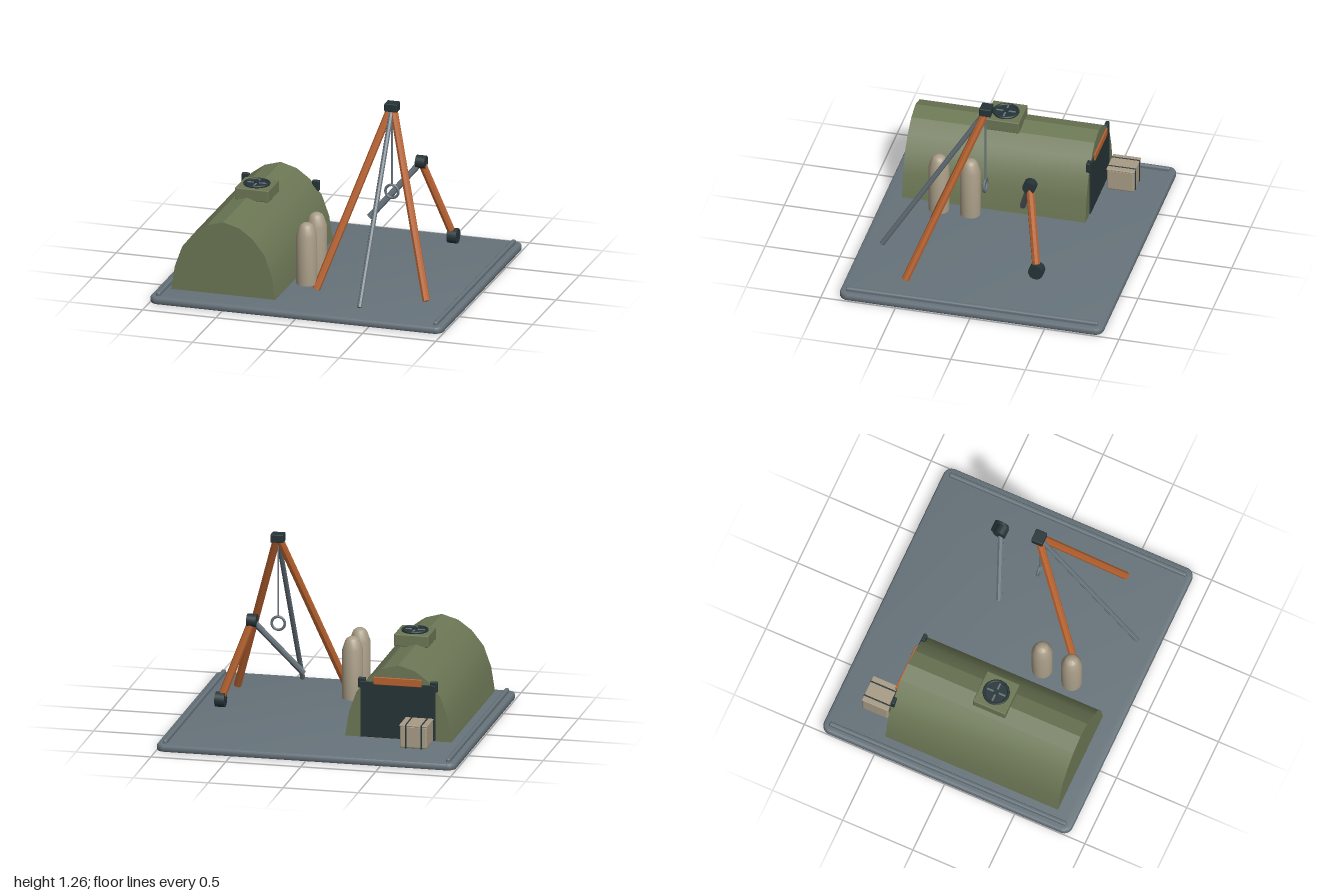
import * as THREE from 'three';
import { toCreasedNormals } from 'three/addons/utils/BufferGeometryUtils.js';
import { RoundedBoxGeometry } from 'three/addons/geometries/RoundedBoxGeometry.js';

const mat = (name, color, flatShading = false) => {
  const m = new THREE.MeshStandardMaterial({ color, flatShading });
  m.name = name;
  return m;
};

export function createModel() {
  const model = new THREE.Group();
  const grey = mat('slate grey', 0x66727a);
  const olive = mat('olive', 0x6c7755);
  const orange = mat('burnt orange', 0xb8622f);
  const tan = mat('tan', 0xa89c86);
  const dark = mat('dark metal', 0x263437);

  const add = (name, geometry, material, x = 0, y = 0, z = 0) => {
    const mesh = new THREE.Mesh(geometry, material);
    mesh.name = name;
    mesh.position.set(x, y, z);
    model.add(mesh);
    return mesh;
  };
  const box = (name, material, w, h, d, x, y, z, r = 0.006) =>
    add(name, new RoundedBoxGeometry(w, h, d, 2, r), material, x, y, z);

  // Faceted pole between two points
  const pole = (name, material, a, b, r, sides = 8) => {
    const from = new THREE.Vector3(...a), to = new THREE.Vector3(...b);
    const dir = to.clone().sub(from);
    const geo = toCreasedNormals(new THREE.CylinderGeometry(r, r, dir.length(), sides), 0.5);
    const mesh = add(name, geo, material);
    mesh.position.copy(from).add(to).multiplyScalar(0.5);
    mesh.quaternion.setFromUnitVectors(new THREE.Vector3(0, 1, 0), dir.normalize());
    return mesh;
  };

  // Base slab with rounded corners and bevelled edges
  const w = 0.98, d = 0.865, r = 0.04;
  const outline = new THREE.Shape();
  outline.absarc(w - r, d - r, r, 0, Math.PI / 2);
  outline.absarc(-w + r, d - r, r, Math.PI / 2, Math.PI);
  outline.absarc(-w + r, -d + r, r, Math.PI, Math.PI * 1.5);
  outline.absarc(w - r, -d + r, r, Math.PI * 1.5, Math.PI * 2);
  const slab = new THREE.ExtrudeGeometry(outline, {
    depth: 0.02, bevelThickness: 0.015, bevelSize: 0.02, bevelSegments: 2, curveSegments: 5,
  });
  slab.rotateX(-Math.PI / 2).translate(0, 0.015, 0);
  add('base', toCreasedNormals(slab, 0.6), grey);
  for (const s of [-1, 1]) box('baseRail', grey, 0.03, 0.035, 1.69, s * 0.945, 0.0575, 0, 0.012);

  // Arched shelter
  const half = [[0.355, 0.075], [0.33, 0.235], [0.28, 0.375], [0.2, 0.475], [0.11, 0.54]];
  const arch = [...half, [0, 0.572], ...half.map(([x, y]) => [-x, y]).reverse()];
  const shelter = new THREE.ExtrudeGeometry(
    new THREE.Shape(arch.map(([x, y]) => new THREE.Vector2(x, y))),
    { depth: 1.23, bevelEnabled: false });
  add('shelter', toCreasedNormals(shelter, 0.337), olive, -0.528, 0, -0.475);

  // Roof hatch with hand wheel
  const hx = -0.495, hz = 0.14;
  box('hatchBox', olive, 0.23, 0.08, 0.23, hx, 0.592, hz);
  add('hatchLid', toCreasedNormals(new THREE.CylinderGeometry(0.085, 0.085, 0.01, 24), 0.6), dark, hx, 0.634, hz);
  const rim = add('wheelRim', new THREE.TorusGeometry(0.08, 0.009, 8, 28), dark, hx, 0.638, hz);
  rim.rotation.x = Math.PI / 2;
  box('wheelSpoke', grey, 0.13, 0.006, 0.012, hx, 0.641, hz, 0.002);
  box('wheelSpoke', grey, 0.012, 0.006, 0.13, hx, 0.641, hz, 0.002);
  add('wheelHub', new THREE.CylinderGeometry(0.018, 0.018, 0.015, 16), dark, hx, 0.645, hz);

  // Rear door with clips and handle bar
  box('rearDoor', dark, 0.5, 0.375, 0.012, -0.525, 0.265, -0.478, 0.004);
  for (const s of [-1, 1]) box('doorClip', dark, 0.05, 0.07, 0.026, -0.525 + s * 0.24, 0.44, -0.468);
  box('doorBar', orange, 0.32, 0.052, 0.012, -0.525, 0.463, -0.487, 0.004);

  // Strapped crate
  box('crate', tan, 0.182, 0.152, 0.182, -0.678, 0.156, -0.602, 0.012);
  box('crateLid', tan, 0.187, 0.012, 0.187, -0.678, 0.232, -0.602, 0.005);
  for (const s of [-1, 1]) box('crateStrap', dark, 0.01, 0.162, 0.19, -0.68 + s * 0.052, 0.16, -0.602, 0.003);

  // Gas bottles
  const bottle = [[0, 0.11], [0.068, 0.11], [0.068, 0.44], [0.05, 0.495], [0.04, 0.512], [0.022, 0.524], [0, 0.528]]
    .map(([x, y]) => new THREE.Vector2(x, y));
  for (const z of [0.265, 0.475])
    add('gasBottle', toCreasedNormals(new THREE.LatheGeometry(bottle, 20), 0.5), tan, -0.048, 0, z);

  // Tripod with cable and ring
  const tx = 0.397, tz = 0.043;
  box('tripodHead', dark, 0.087, 0.055, 0.078, tx, 1.23, tz);
  for (const s of [-1, 1])
    pole('tripodLeg', orange, [tx + s * 0.012, 1.21, tz + 0.005], [tx + s * 0.375, 0.08, 0.49], 0.026);
  pole('tripodRearLeg', grey, [tx, 1.21, tz + 0.01], [tx, 0.08, 0.742], 0.017);
  pole('cable', grey, [tx, 1.21, 0.05], [tx, 0.69, 0.05], 0.006);
  add('cableRing', new THREE.TorusGeometry(0.044, 0.009, 8, 24), grey, tx, 0.647, 0.05);

  // Jointed arm
  const lower = [0.683, 0.232, -0.367], upper = [0.495, 0.752, -0.273];
  const joint = (name, p, radius) => {
    const geo = new THREE.CylinderGeometry(radius, radius, 0.064, 20).rotateZ(Math.PI / 2);
    add(name, toCreasedNormals(geo, 0.6), dark, ...p);
  };
  joint('lowerJoint', lower, 0.05);
  joint('upperJoint', upper, 0.043);
  pole('lowerArm', orange, lower, upper, 0.027);
  pole('upperArm', grey, upper, [0.182, 0.38, -0.146], 0.021);

  return model;
}
